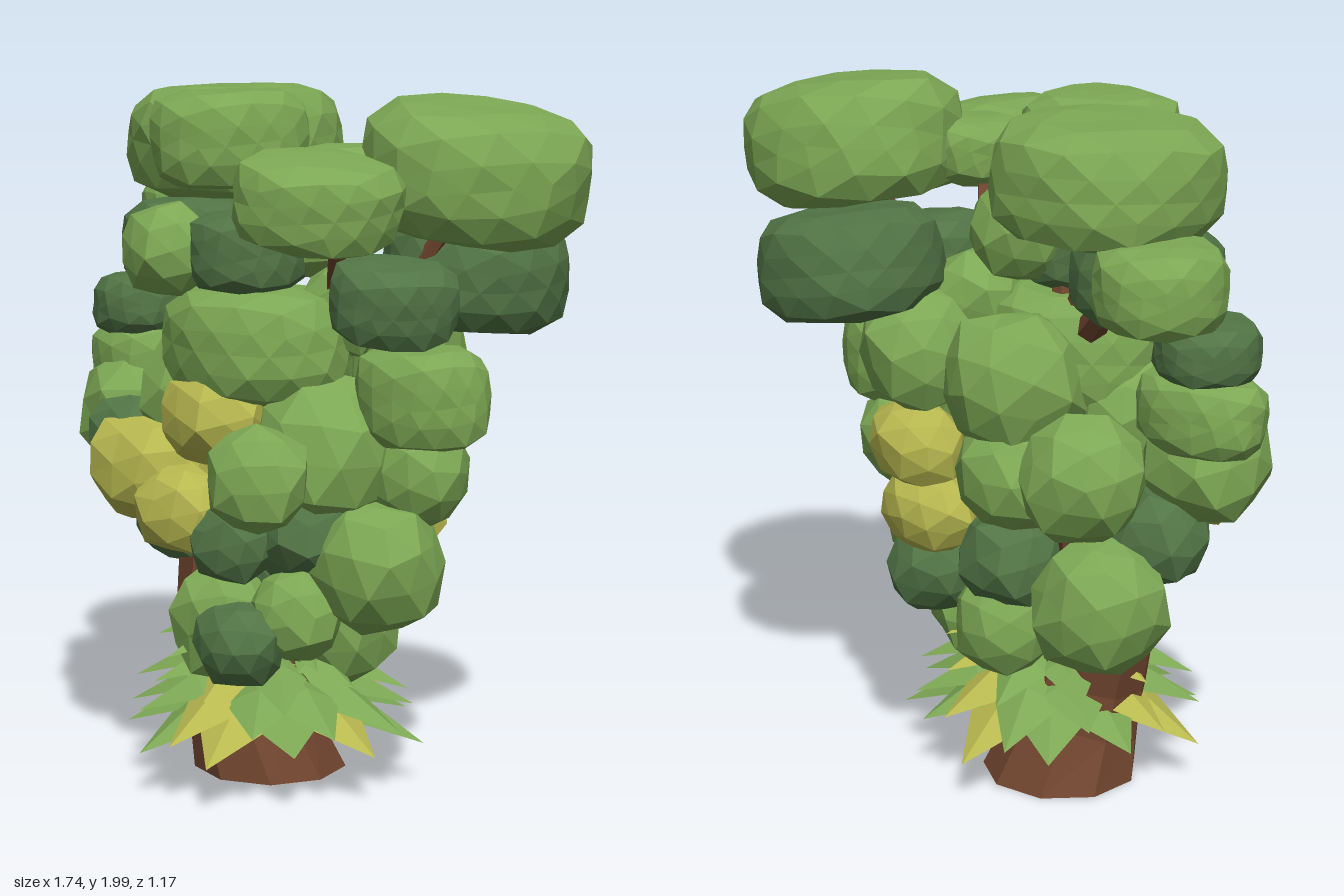
import * as THREE from 'three';

const mat = (color) => new THREE.MeshStandardMaterial({ color, flatShading: true, side: THREE.DoubleSide });

// Low-poly leaf clump: a superellipsoid, boxier in height as power grows, with lumps of the given strength
function clumpGeometry(rx, ry, rz, power, detail, lumps, seed) {
  const geo = new THREE.IcosahedronGeometry(1, detail);
  geo.rotateY(seed * 1.3);
  geo.rotateX(seed * 0.7);
  const p = geo.attributes.position;
  for (let i = 0; i < p.count; i++) {
    const x = p.getX(i), y = p.getY(i), z = p.getZ(i);
    const h = Math.hypot(x, z);
    const bump = 1 + lumps * Math.sin(5 * x + seed * 2) * Math.cos(4 * z + 3 * y + seed);
    const s = bump / Math.pow(Math.pow(h, power) + Math.pow(Math.abs(y), power), 1 / power);
    p.setXYZ(i, x * s * rx, y * s * ry, z * s * rz);
  }
  geo.computeVertexNormals();
  return geo;
}

// Tapered limb swept along a curve
function limbGeometry(points, radii, sides, steps) {
  const curve = new THREE.CatmullRomCurve3(points.map((a) => new THREE.Vector3(...a)));
  const geo = new THREE.TubeGeometry(curve, steps, 1, sides, false);
  const p = geo.attributes.position;
  const c = new THREE.Vector3(), v = new THREE.Vector3();
  for (let i = 0; i < p.count; i++) {
    const t = Math.floor(i / (sides + 1)) / steps;
    curve.getPointAt(t, c);
    const f = t * (radii.length - 1), k = Math.min(Math.floor(f), radii.length - 2);
    const r = THREE.MathUtils.lerp(radii[k], radii[k + 1], f - k);
    v.fromBufferAttribute(p, i).sub(c).multiplyScalar(r).add(c);
    p.setXYZ(i, v.x, Math.max(v.y, 0), v.z);
  }
  geo.computeVertexNormals();
  return geo;
}

// Pointed leaf along +x with a raised midrib, drooping to the tip
function spikeGeometry(rootR, rootY, tipR, tipY, width) {
  const midR = THREE.MathUtils.lerp(rootR, tipR, 0.45);
  const midY = THREE.MathUtils.lerp(rootY, tipY, 0.45);
  const root = [rootR, rootY, 0], tip = [tipR, tipY, 0], rib = [midR, midY + 0.035, 0];
  const a = [midR, midY - 0.015, width / 2], b = [midR, midY - 0.015, -width / 2];
  const geo = new THREE.BufferGeometry();
  const corners = [root, a, rib, a, tip, rib, root, rib, b, rib, tip, b];
  geo.setAttribute('position', new THREE.Float32BufferAttribute(corners.flat(), 3));
  geo.computeVertexNormals();
  return geo;
}

export function createModel() {
  const tree = new THREE.Group();
  tree.name = 'tree';
  const mats = { green: mat(0x7da854), dark: mat(0x527546), yellow: mat(0xb8b850), bark: mat(0x70452f) };
  const add = (parent, name, geo, m) => {
    const mesh = new THREE.Mesh(geo, mats[m]);
    mesh.name = name;
    parent.add(mesh);
    return mesh;
  };

  // Trunk with a flared foot
  const wood = new THREE.Group();
  wood.name = 'wood';
  tree.add(wood);
  const trunk = limbGeometry(
    [[-0.15, 0, 0], [-0.19, 0.2, 0.06], [-0.28, 0.55, 0.06], [-0.15, 1.3, 0]],
    [0.24, 0.165, 0.15, 0.14, 0.12, 0.1, 0.08], 9, 8);
  const tp = trunk.attributes.position;
  for (let i = 0; i < 10; i++) tp.setY(i, 0);
  trunk.computeVertexNormals();
  add(wood, 'trunk', trunk, 'bark');
  const foot = add(wood, 'trunkBase', new THREE.CircleGeometry(0.22, 9), 'bark');
  foot.rotation.x = Math.PI / 2;
  foot.position.set(-0.15, 0.003, 0);

  // Branches reaching into the crown
  const addBranch = (...pts) => add(wood, 'branch', limbGeometry(pts, [0.05, 0.03, 0.02], 6, 6), 'bark');
  addBranch([-0.16, 1.15, 0], [0.1, 1.3, 0], [0.18, 1.48, 0.04], [0.3, 1.64, 0.15], [0.45, 1.72, 0.3]);
  addBranch([0.1, 1.28, 0], [0.3, 1.4, -0.05], [0.55, 1.75, -0.12]);
  addBranch([-0.16, 1.25, 0], [-0.25, 1.5, 0], [-0.42, 1.75, -0.1]);
  addBranch([-0.16, 1.25, 0], [-0.12, 1.5, 0.05], [-0.17, 1.8, 0.11]);
  addBranch([-0.22, 1.3, 0], [-0.45, 1.5, -0.1], [-0.68, 1.6, -0.2]);

  const foliage = new THREE.Group();
  foliage.name = 'foliage';
  tree.add(foliage);

  // Broad flattened clumps: x, y, z, radius, half height; the right side leans outward
  const addCrown = (color, depth, clumps) => clumps.forEach(([x, y, z, r, h], i) => {
    const clump = add(foliage, 'crownClump', clumpGeometry(r, h, r * depth, 4.5, 2, 0.03, i + 1), color);
    clump.position.set(x, y, z);
    clump.rotation.z = x > 0.3 && y > 1.4 ? -0.15 : 0.03;
  });
  addCrown('green', 1.03, [
    [-0.42, 1.82, -0.11, 0.31, 0.165],
    [-0.18, 1.85, 0.12, 0.22, 0.14],
    [0.55, 1.79, -0.13, 0.31, 0.18],
    [0.45, 1.73, 0.36, 0.225, 0.125],
    [-0.69, 1.59, -0.2, 0.18, 0.12],
    [0.28, 1.77, 0.1, 0.145, 0.09],
  ]);
  addCrown('dark', 1.02, [
    [0.37, 1.49, -0.32, 0.26, 0.155],
    [0.45, 1.44, 0.08, 0.175, 0.115],
    [-0.42, 1.53, 0.05, 0.21, 0.135],
    [-0.08, 1.54, 0.14, 0.17, 0.115],
    [-0.6, 1.34, 0.1, 0.15, 0.09],
  ]);
  addCrown('green', 0.75, [
    [-0.09, 1.27, 0.1, 0.31, 0.165],
    [0.42, 1.16, -0.06, 0.21, 0.14],
    [-0.6, 1.17, 0.08, 0.2, 0.11],
  ]);

  // Rounded faceted clumps around the trunk: x, y, z, radius
  const addClumps = (color, [sx, sy, sz], clumps) => clumps.forEach(([x, y, z, r], i) => {
    const geo = clumpGeometry(r * sx, r * sy, r * sz, 2.3, 1, 0.09, i + 2);
    add(foliage, 'leafClump', geo, color).position.set(x, y, z);
  });
  addClumps('green', [1.08, 1.08, 1.04], [
    [-0.01, 1.6, -0.02, 0.135], [-0.28, 1.54, 0.27, 0.125], [0.13, 1.38, -0.05, 0.13],
    [0.2, 1.25, -0.21, 0.17], [-0.12, 1.2, -0.16, 0.19], [-0.58, 1.02, 0.13, 0.17],
    [-0.38, 0.98, -0.16, 0.165], [-0.15, 0.96, -0.19, 0.155], [0.16, 0.94, 0.32, 0.14],
    [0.37, 0.93, -0.1, 0.14], [0.16, 0.99, 0.06, 0.2], [0.34, 0.68, 0.03, 0.175],
    [-0.46, 0.63, -0.17, 0.175], [-0.07, 0.48, 0.22, 0.16], [0.17, 0.54, 0.18, 0.125],
    [0.12, 0.47, -0.04, 0.16], [-0.12, 0.5, -0.2, 0.14], [-0.28, 1.1, 0.13, 0.18],
  ]);
  addClumps('dark', [1.1, 1, 1.02], [
    [-0.47, 0.97, 0.24, 0.13], [-0.5, 0.8, 0.02, 0.14], [0.01, 0.74, 0.28, 0.125],
    [0.14, 0.76, 0.12, 0.15], [-0.34, 0.75, 0.16, 0.14], [-0.14, 0.7, -0.2, 0.14],
    [0.16, 0.6, -0.2, 0.13], [0.08, 0.46, 0.32, 0.12], [0, 0.64, 0.02, 0.18],
  ]);
  addClumps('yellow', [1.35, 1.02, 0.95], [
    [-0.35, 0.9, 0.29, 0.155], [-0.12, 1.07, 0.24, 0.135], [-0.16, 0.81, 0.33, 0.125],
    [0.2, 0.97, -0.23, 0.125], [0.15, 0.78, -0.23, 0.12],
  ]);

  // Skirt of pointed leaves in tiers: count, root radius and height, tip radius and height, width
  const skirt = new THREE.Group();
  skirt.name = 'leafSkirt';
  skirt.position.set(-0.065, 0, 0.07);
  tree.add(skirt);
  [
    [11, 0.09, 0.31, 0.44, 0.14, 0.23],
    [11, 0.09, 0.34, 0.42, 0.2, 0.2],
    [10, 0.08, 0.41, 0.38, 0.3, 0.16],
    [9, 0.06, 0.5, 0.33, 0.41, 0.13],
  ].forEach(([n, r0, y0, r1, y1, w], tier) => {
    for (let i = 0; i < n; i++) {
      const vary = 0.025 * Math.sin(i * 2.4 + tier);
      const color = (i + tier) % 3 === 0 ? 'yellow' : 'green';
      const leaf = add(skirt, 'pointedLeaf', spikeGeometry(r0, y0, r1 + vary, y1 - vary, w), color);
      leaf.rotation.y = ((i + tier * 0.5) / n) * Math.PI * 2;
    }
  });
  return tree;
}
